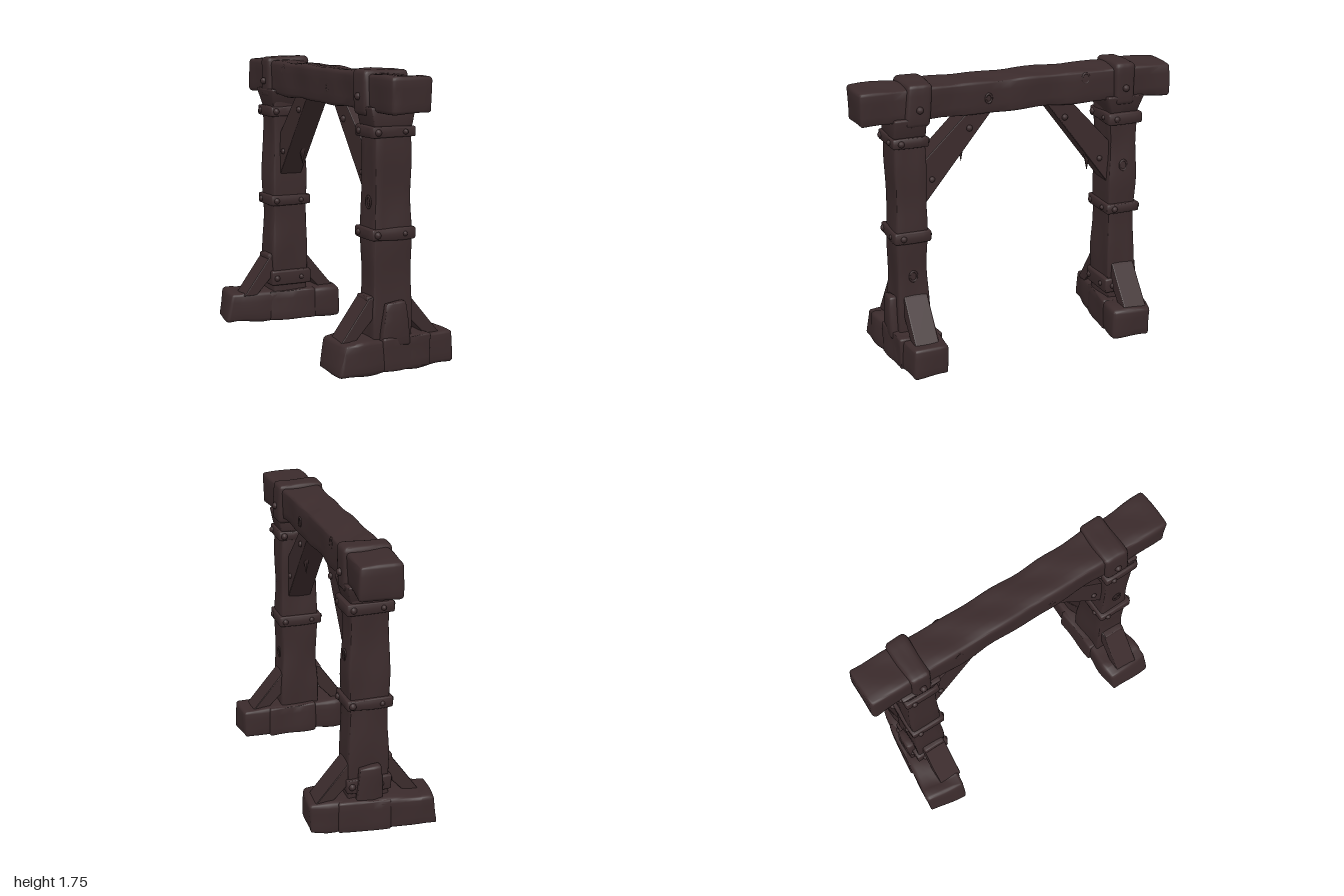
import * as THREE from 'three';
import { mergeVertices, toCreasedNormals } from 'three/addons/utils/BufferGeometryUtils.js';

const wood = new THREE.MeshStandardMaterial({ color: 0x3b2b2c });
wood.name = 'darkWood';

// Smooth repeatable wobble used to wear the timber
const wobble = (x, y, z, s) =>
  Math.sin(x * 17 + s * 3.1 + Math.sin(y * 9 + s)) * 0.4 +
  Math.sin(y * 13 + s * 1.7 + Math.sin(z * 11)) * 0.35 +
  Math.sin(z * 19 + s * 2.3 + x * 23 + y * 7) * 0.25;

function add(group, name, geometry) {
  const mesh = new THREE.Mesh(geometry, wood);
  mesh.name = name;
  group.add(mesh);
  return mesh;
}

// Worn block between two corners: rounded edges, wobbly faces, optional reshaping
function block(group, name, lo, hi, { r = 0.02, wear = 0.006, seed = 1, shape } = {}) {
  const size = hi.map((h, i) => h - lo[i]);
  const mid = hi.map((h, i) => (h + lo[i]) / 2);
  const segs = size.map((s) => Math.max(6, Math.min(36, Math.round(s / 0.05) + 4)));
  let g = new THREE.BoxGeometry(1, 1, 1, ...segs);
  g.deleteAttribute('normal');
  g.deleteAttribute('uv');
  g = mergeVertices(g, 1e-4);
  const p = g.attributes.position;
  const v = new THREE.Vector3();
  const core = new THREE.Vector3();
  const half = new THREE.Vector3(...size).multiplyScalar(0.5);
  const inner = half.clone().subScalar(r);
  for (let i = 0; i < p.count; i++) {
    v.fromBufferAttribute(p, i);
    // the two outermost cells on each axis lie in the rounded rim
    ['x', 'y', 'z'].forEach((a, k) => {
      const n = segs[k];
      const c = Math.round((v[a] + 0.5) * n);
      const e = Math.min(c, n - c);
      if (e < 2) v[a] = Math.sign(v[a]) * (half[a] - (e * r) / 2);
      else v[a] = -inner[a] + ((c - 2) / (n - 4)) * inner[a] * 2;
    });
    core.copy(v).clamp(inner.clone().negate(), inner);
    const out = v.clone().sub(core);
    const dir = out.clone().normalize();
    v.copy(core).addScaledVector(dir, r);
    const w = wobble(v.x + mid[0], v.y + mid[1], v.z + mid[2], seed);
    v.addScaledVector(dir, (w - 0.3) * wear);
    if (shape) shape(v, half);
    p.setXYZ(i, v.x, v.y, v.z);
  }
  const mesh = add(group, name, toCreasedNormals(g, 0.7));
  mesh.position.set(...mid);
  return mesh;
}

// Bevelled plank cut from an outline; alongX stands the outline in the z-y plane
function plank(group, name, outline, depth, centre, alongX) {
  const b = 0.008;
  const s = new THREE.Shape(outline.map(([x, y]) => new THREE.Vector2(x, y)));
  const g = new THREE.ExtrudeGeometry(s, {
    depth: depth - 2 * b, bevelThickness: b, bevelSize: b, bevelOffset: -b, bevelSegments: 2,
  });
  g.translate(0, 0, -depth / 2 + b);
  if (alongX) g.rotateY(-Math.PI / 2);
  const mesh = add(group, name, g);
  mesh.position[alongX ? 'x' : 'z'] = centre;
  return mesh;
}

function bolt(group, x, y, z, r = 0.022) {
  add(group, 'bolt', new THREE.SphereGeometry(r, 10, 8)).position.set(x, y, z);
}

// Raised ring of a knot on a side face
function knot(group, x, y, z, r) {
  const k = add(group, 'knot', new THREE.TorusGeometry(r, 0.006, 6, 16));
  k.rotation.y = Math.PI / 2;
  k.position.set(x, y, z);
  k.scale.y = 1.3;
}

// Collar round a post with bolts on every face
function collar(group, y, z, seed, h = 0.07) {
  block(group, 'collar', [-0.125, y - h / 2, z - 0.115], [0.16, y + h / 2, z + 0.115],
    { r: 0.014, wear: 0.006, seed });
  for (const s of [-1, 1]) {
    bolt(group, 0.07 * s + 0.015, y, z + s * 0.113, 0.016);
    bolt(group, 0.017 + s * 0.138, y, z + s * 0.06, 0.02);
    bolt(group, 0.017 + s * 0.105, y, z - s * 0.105, 0.022);
  }
}

function createTrestle(s) {
  const g = new THREE.Group();
  g.name = s > 0 ? 'frontTrestle' : 'backTrestle';
  const z = 0.695 * s;
  const seed = s > 0 ? 2 : 5;

  // Upright, a little wider at the bottom
  block(g, 'post', [-0.1, 0.12, z - 0.097], [0.138, 1.53, z + 0.097], {
    r: 0.016, wear: 0.012, seed,
    shape: (v, h) => { v.x *= 1.03 - 0.05 * (v.y / h.y); },
  });
  collar(g, 0.8, z, seed);
  collar(g, 1.385, z, seed + 1);

  // Foot beam, skewed slightly, with a wrapped middle section
  const foot = new THREE.Group();
  foot.name = 'foot';
  const wide = s > 0 ? 0.14 : 0.03;
  const taper = (v) => {
    v.z *= 1 - wide * v.x / 0.4;
    if (v.x < -0.3) v.x += Math.max(0, v.y + 0.1) * 0.2;
  };
  block(foot, 'footBeam', [-0.395, 0, -0.132], [0.395, 0.2, 0.132],
    { r: 0.026, wear: 0.014, seed: seed + 2, shape: taper });
  block(foot, 'footWrap', [-0.1, 0.003, -0.139], [0.22, 0.203, 0.139],
    { r: 0.014, wear: 0.008, seed: seed + 3 });
  foot.position.set(s > 0 ? 0.03 : -0.02, 0, s > 0 ? 0.7 : -0.72);
  foot.rotation.y = s > 0 ? 0.045 : -0.13;
  g.add(foot);

  // Sloping struts between foot and post, each side
  plank(g, 'rightStrut', [[-0.31, 0.18], [-0.22, 0.18], [-0.09, 0.32], [-0.09, 0.44], [-0.13, 0.43]],
    0.145, z + 0.01);
  plank(g, 'leftStrut', [[0.35, 0.18], [0.25, 0.18], [0.12, 0.31], [0.12, 0.45], [0.15, 0.42]],
    0.15, z - 0.01);
  block(g, 'strutCap', [-0.14, 0.4, z - 0.06], [-0.06, 0.445, z + 0.08], { r: 0.012, seed });
  // Short board against the outer face
  block(g, 'outerBoard', [-0.06, 0.15, z + s * 0.112 - 0.026], [0.1, 0.41, z + s * 0.112 + 0.026],
    { r: 0.014, wear: 0.012, seed: seed + 4, shape: (v, h) => { v.x *= 1 - 0.18 * v.y / h.y; } });

  // Strap over the top beam, flaring out from the post head
  const [z0, z1] = s > 0 ? [0.56, 0.72] : [-0.755, -0.62];
  block(g, 'beamStrap', [-0.13, 1.47, z0], [0.165, 1.735, z1], {
    r: 0.03, wear: 0.008, seed: seed + 5,
    shape: (v, h) => { if (s > 0) v.z -= 0.012 * (v.y / h.y); },
  });
  block(g, 'postHead', [-0.13, 1.41, z - 0.1], [0.165, 1.53, z + 0.1], {
    r: 0.014, wear: 0.006, seed: seed + 6,
    shape: (v, h) => {
      const t = v.y / h.y;
      v.x *= 0.91 + 0.09 * t;
      if (s < 0) v.z *= 1.13 + 0.2 * t;
    },
  });
  for (const x of [-0.132, 0.165]) bolt(g, x, 1.58, (z0 + z1) / 2, 0.022);

  // Diagonal brace to the beam, with bolts and a hanging splinter
  const inner = s > 0 ? 0.17 : 0.2;
  const outer = s > 0 ? 0.33 : 0.36;
  const pts = [[0.62, 0.95], [0.62, 1.23], [outer - 0.02, 1.53], [inner - 0.02, 1.53]];
  plank(g, 'brace', pts.map(([a, b]) => [a * s, b]), 0.15, 0.02, true);
  for (const x of [-0.055, 0.095]) {
    bolt(g, x, 1.42, 0.31 * s, 0.02);
    bolt(g, x, 1.13, 0.55 * s, 0.018);
  }
  const [sy, sz] = s > 0 ? [1.27, 0.35] : [1.11, -0.485];
  const splinter = add(g, 'splinter', new THREE.ConeGeometry(0.026, 0.13, 5));
  splinter.position.set(0.05, sy, sz);
  splinter.rotation.x = Math.PI;

  knot(g, -0.098, s > 0 ? 0.98 : 1.02, z + 0.01, 0.026);
  knot(g, 0.138, s > 0 ? 0.55 : 1.08, z, 0.024);
  return g;
}

export function createModel() {
  const model = new THREE.Group();
  model.name = 'timberFrame';

  // Long top beam, thicker at its ends
  block(model, 'topBeam', [-0.105, 1.495, -1], [0.145, 1.71, 1], {
    r: 0.024, wear: 0.014, seed: 3,
    shape: (v, h) => {
      const t = Math.abs(v.z) / h.z;
      if (v.x > 0) v.x += 0.025 * t * t - 0.01;
    },
  });
  for (const x of [-0.104, 0.132]) {
    knot(model, x, 1.66, -0.43, 0.024);
    knot(model, x, 1.6, 0.2, 0.02);
  }

  const front = createTrestle(1);
  const back = createTrestle(-1);
  // Extra low collar on the back post
  collar(back, 0.285, -0.695, 9, 0.1);
  model.add(front, back);
  return model;
}
